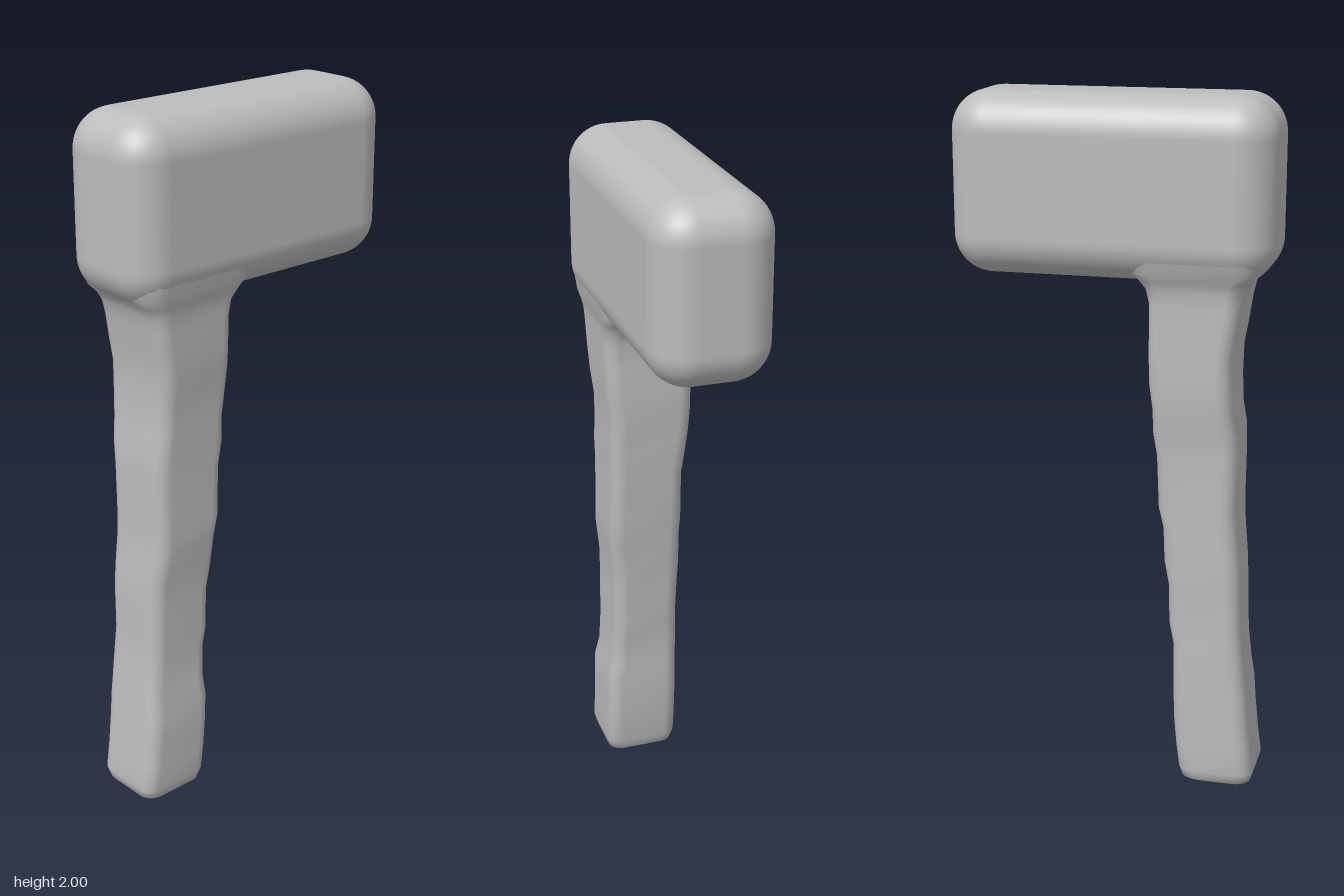
import * as THREE from 'three';
import { RoundedBoxGeometry } from 'three/addons/geometries/RoundedBoxGeometry.js';

// Rounded-rectangle ring, counter-clockwise in x/z
function ring(y, x0, x1, z0, z1, r) {
  const pts = [];
  const corners = [[x1 - r, z1 - r], [x0 + r, z1 - r], [x0 + r, z0 + r], [x1 - r, z0 + r]];
  corners.forEach(([cx, cz], q) => {
    for (let i = 0; i <= 4; i++) {
      const a = (q + i / 4) * Math.PI / 2;
      pts.push(cx + r * Math.cos(a), y, cz + r * Math.sin(a));
    }
  });
  return pts;
}

// Skin a stack of rings, closed at the bottom
function loft(sections) {
  const n = 20;
  const pos = sections.flatMap((s) => ring(...s));
  const index = [];
  for (let j = 0; j < sections.length - 1; j++) {
    for (let i = 0; i < n; i++) {
      const a = j * n + i, b = j * n + (i + 1) % n;
      index.push(a, a + n, b, b, a + n, b + n);
    }
  }
  for (let i = 1; i < n - 1; i++) index.push(0, i, i + 1);
  const geo = new THREE.BufferGeometry();
  geo.setAttribute('position', new THREE.Float32BufferAttribute(pos, 3));
  geo.setIndex(index);
  geo.computeVertexNormals();
  return geo;
}

export function createModel() {
  const group = new THREE.Group();
  const grey = new THREE.MeshStandardMaterial({ color: 0xbcbcbc });
  grey.name = 'plain grey';

  // Heavy block head with soft edges
  const head = new THREE.Mesh(new RoundedBoxGeometry(0.9, 0.5, 0.332, 8, 0.11), grey);
  head.name = 'head';
  head.position.y = 1.75;
  group.add(head);

  // Uneven hand-carved handle: y, x min, x max, z min, z max, corner radius
  const sections = [
    [0, -0.37, -0.25, -0.05, 0.07, 0.03],
    [0.003, -0.395, -0.225, -0.075, 0.095, 0.035],
    [0.015, -0.412, -0.208, -0.092, 0.112, 0.04],
    [0.045, -0.42, -0.2, -0.1, 0.12, 0.04],
    [0.12, -0.41, -0.19, -0.1, 0.12, 0.04],
    [0.2, -0.402, -0.183, -0.1, 0.12, 0.04],
    [0.29, -0.395, -0.18, -0.1, 0.12, 0.04],
    [0.35, -0.388, -0.18, -0.1, 0.107, 0.04],
    [0.44, -0.378, -0.178, -0.1, 0.105, 0.04],
    [0.5, -0.375, -0.165, -0.095, 0.105, 0.04],
    [0.62, -0.372, -0.163, -0.1, 0.105, 0.04],
    [0.69, -0.368, -0.15, -0.1, 0.107, 0.04],
    [0.79, -0.357, -0.146, -0.1, 0.12, 0.04],
    [0.85, -0.355, -0.132, -0.1, 0.12, 0.04],
    [1.0, -0.357, -0.126, -0.1, 0.117, 0.04],
    [1.07, -0.355, -0.116, -0.107, 0.12, 0.04],
    [1.14, -0.343, -0.116, -0.117, 0.12, 0.04],
    [1.22, -0.34, -0.106, -0.12, 0.122, 0.04],
    [1.3, -0.34, -0.105, -0.12, 0.133, 0.04],
    [1.37, -0.352, -0.105, -0.12, 0.136, 0.04],
    [1.44, -0.362, -0.105, -0.12, 0.138, 0.04],
    [1.48, -0.372, -0.095, -0.124, 0.14, 0.045],
    [1.505, -0.385, -0.075, -0.132, 0.145, 0.05],
    [1.53, -0.41, -0.05, -0.146, 0.152, 0.06],
    [1.58, -0.425, -0.03, -0.16, 0.16, 0.08],
  ];
  const handle = new THREE.Mesh(loft(sections), grey);
  handle.name = 'handle';
  group.add(handle);

  return group;
}
